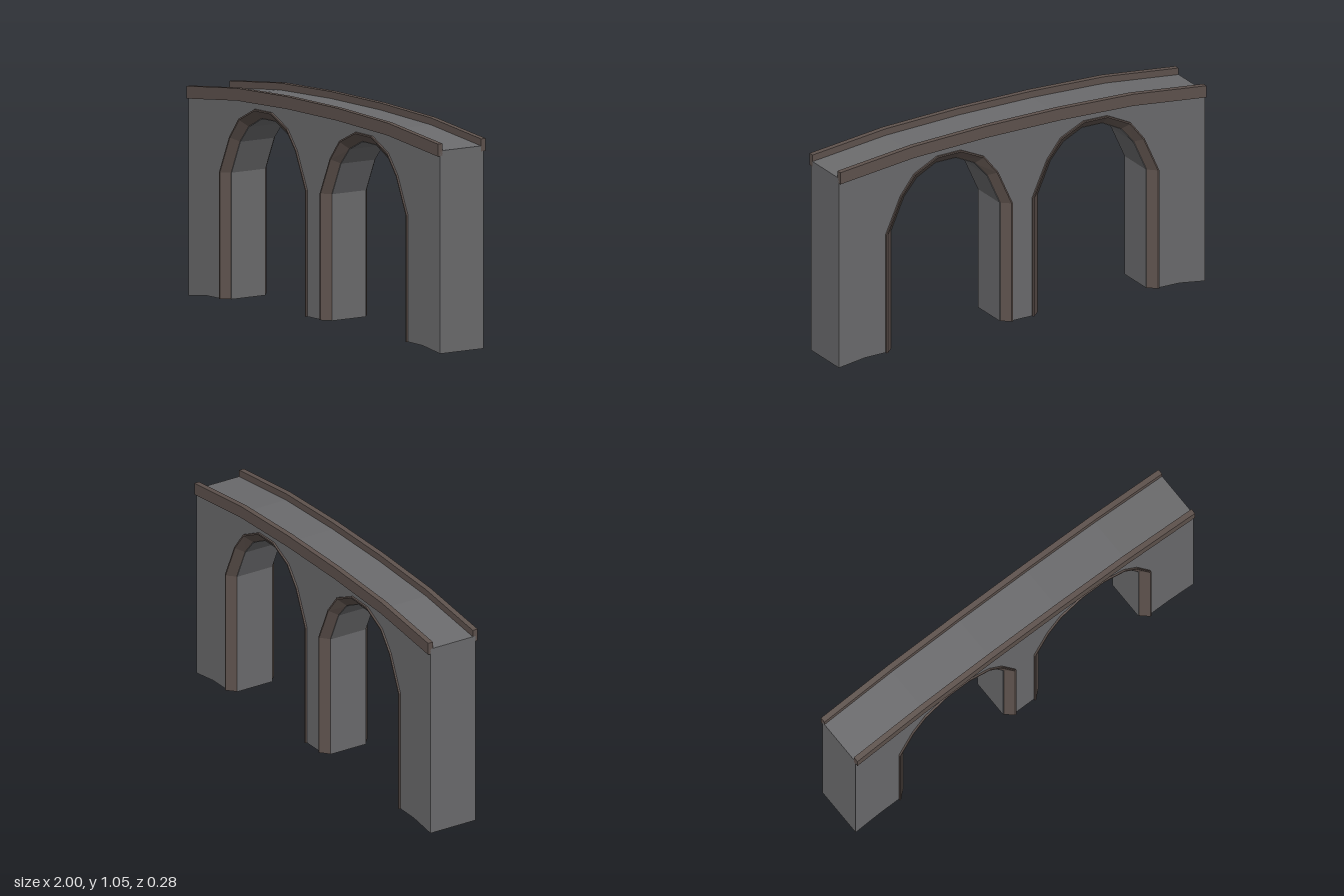
import * as THREE from 'three';

const STONE = new THREE.MeshStandardMaterial({ color: 0x6b6b6d, flatShading: true });
const TRIM = new THREE.MeshStandardMaterial({ color: 0x5e524d, flatShading: true });

// Bowed deck line: x and rise
const BOW = [[-1, 0], [-0.6, 0.045], [-0.2, 0.06], [0.2, 0.06], [0.6, 0.045], [1, 0]];
const CENTER = 0.4;
// Half arch from spring to crown: offset from the arch centre, height
const OUTER = [[0.345, 0.625], [0.265, 0.802], [0.19, 0.897], [0.065, 0.957]];
const INNER = [[0.295, 0.625], [0.225, 0.78], [0.157, 0.858], [0.055, 0.909]];
const CORE_Z = 0.098, WALL_Z = 0.125, LIP_Z = 0.134;

// Full path of the right-hand arch, foot to foot, leaning slightly with the bow
function archPath(half) {
  const w = half[0][0];
  const left = half.map(([x, y]) => [-x, y]);
  const right = [...half].reverse();
  return [[-w, 0.026], ...left, ...right, [w, 0.026]]
    .map(([x, y]) => [CENTER + x, y - 0.014 * x]);
}

// Extrude an outline between two z values
function slab(name, points, z0, z1, material) {
  const shape = new THREE.Shape(points.map(([x, y]) => new THREE.Vector2(x, y)));
  const geo = new THREE.ExtrudeGeometry(shape, { depth: z1 - z0, bevelEnabled: false });
  geo.translate(0, 0, z0);
  const mesh = new THREE.Mesh(geo, material);
  mesh.name = name;
  return mesh;
}

// Wall outline with both arched openings cut up from the ground
function wallOutline(half) {
  const right = archPath(half);
  const left = right.map(([x, y]) => [-x, y]).reverse();
  return [
    [-1, 0], [-0.86, 0.02], ...left, [0, 0.031], ...right, [0.86, 0.02], [1, 0],
    ...[...BOW].reverse().map(([x, r]) => [x, 0.96 + r]),
  ];
}

// Splayed arch surround: a four-point section swept along the arch
function archTrim(sx, sz) {
  const outer = archPath(OUTER), inner = archPath(INNER);
  const rings = outer.map(([ox, oy], i) => {
    const [ix, iy] = inner[i];
    const t = 0.14;
    return [
      [ox, oy, CORE_Z - 0.003],
      [ox, oy, LIP_Z],
      [ox + (ix - ox) * t, oy + (iy - oy) * t, LIP_Z],
      [ix, iy, CORE_Z - 0.003],
    ].map(([x, y, z]) => [x * sx, y, z * sz]);
  });
  const pos = [];
  const quad = (a, b, c, d) => {
    const q = sx * sz > 0 ? [a, b, c, a, c, d] : [a, c, b, a, d, c];
    q.forEach((p) => pos.push(...p));
  };
  for (let i = 0; i < rings.length - 1; i++) {
    for (let k = 0; k < 4; k++) {
      const n = (k + 1) % 4;
      quad(rings[i][k], rings[i][n], rings[i + 1][n], rings[i + 1][k]);
    }
  }
  const first = rings[0], last = rings[rings.length - 1];
  quad(first[0], first[3], first[2], first[1]);
  quad(last[0], last[1], last[2], last[3]);
  const geo = new THREE.BufferGeometry();
  geo.setAttribute('position', new THREE.Float32BufferAttribute(pos, 3));
  geo.computeVertexNormals();
  const mesh = new THREE.Mesh(geo, TRIM);
  mesh.name = 'archTrim';
  return mesh;
}

export function createModel() {
  const bridge = new THREE.Group();
  bridge.name = 'archBridge';

  // Core with the narrow openings, faced by walls with the wide openings
  bridge.add(slab('wallCore', wallOutline(INNER), -CORE_Z, CORE_Z, STONE));
  const face = wallOutline(OUTER);
  bridge.add(slab('frontWall', face, CORE_Z, WALL_Z, STONE));
  bridge.add(slab('backWall', face, -WALL_Z, -CORE_Z, STONE));

  // Curbs along both deck edges
  const curb = [
    ...BOW.map(([x, r]) => [x, 0.934 + r]),
    ...[...BOW].reverse().map(([x, r]) => [x, 0.993 + r]),
  ];
  bridge.add(slab('frontCurb', curb, 0.111, 0.138, TRIM));
  bridge.add(slab('backCurb', curb, -0.138, -0.111, TRIM));

  // Surrounds of both arches on both faces
  for (const sx of [-1, 1]) for (const sz of [-1, 1]) bridge.add(archTrim(sx, sz));

  return bridge;
}
